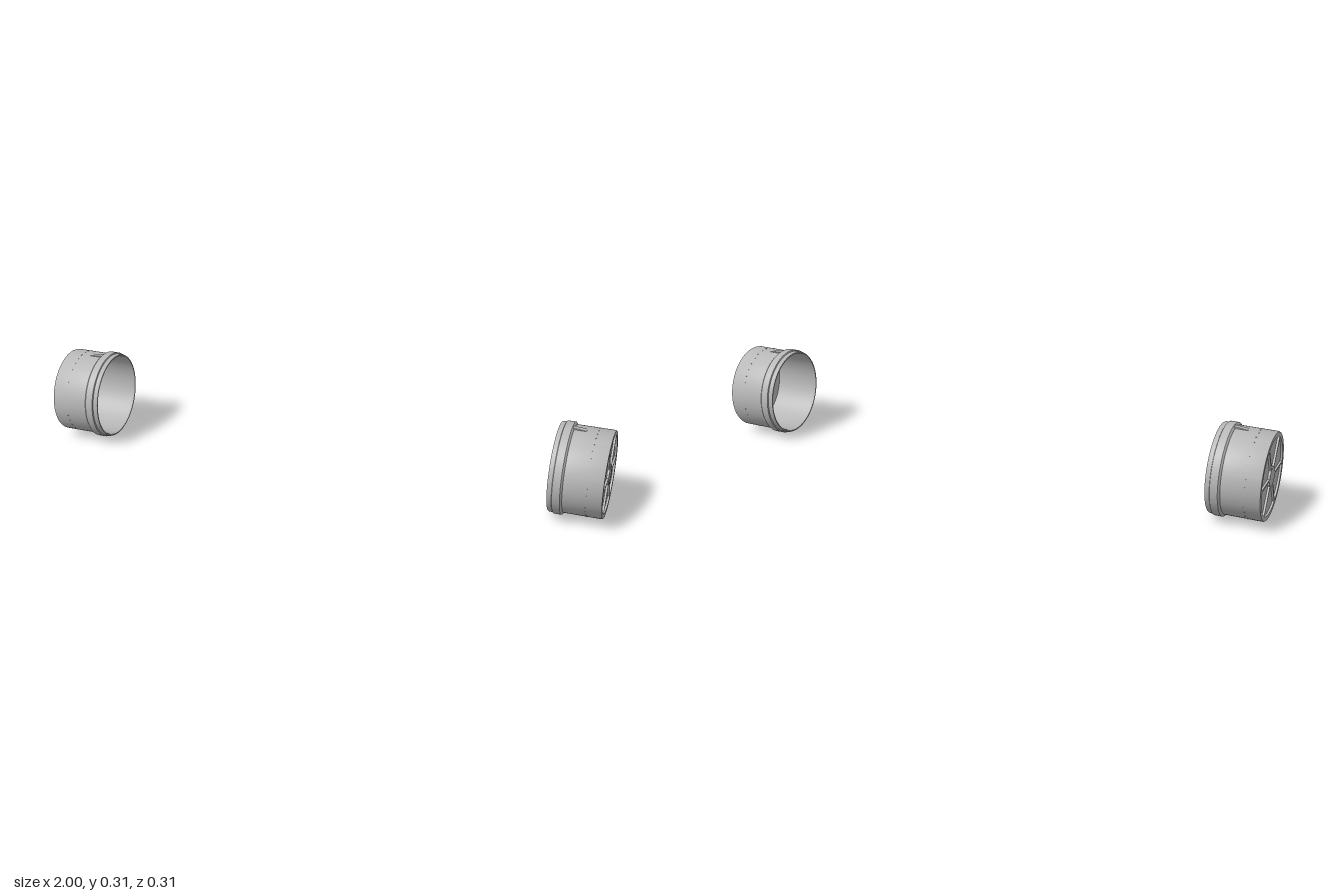
import * as THREE from 'three';
import { toCreasedNormals } from 'three/addons/utils/BufferGeometryUtils.js';

const grey = new THREE.MeshStandardMaterial({ color: 0xb8b8b8 });
grey.name = 'light grey';

function add(parent, name, geometry) {
  const mesh = new THREE.Mesh(geometry, grey);
  mesh.name = name;
  parent.add(mesh);
  return mesh;
}

// Lathe a profile of [radius, x] points around the x axis
function turned(points, sides) {
  const profile = points.map(([r, x]) => new THREE.Vector2(r, x));
  const geometry = new THREE.LatheGeometry(profile, sides).rotateZ(-Math.PI / 2);
  return toCreasedNormals(geometry, 0.5);
}

// One hollow cap: open towards the centre, closed at x = 1
function createCap(name) {
  const cap = new THREE.Group();
  cap.name = name;

  // Shell: inner floor, inner wall, lip, flange, outer wall, end rim, recessed end
  add(cap, 'shell', turned([
    [0, 0.982], [0.144, 0.982], [0.144, 0.83], [0.147, 0.818],
    [0.151, 0.818], [0.153, 0.822], [0.153, 0.834],
    [0.157, 0.836], [0.157, 0.862], [0.153, 0.866], [0.149, 0.868],
    [0.149, 0.994], [0.147, 0.998], [0.132, 0.998], [0.132, 0.991], [0, 0.991],
  ], 72));

  // Spokes across the recessed end
  for (let i = 0; i < 3; i++) {
    const spoke = add(cap, 'spoke', new THREE.BoxGeometry(0.008, 0.006, 0.266));
    spoke.position.x = 0.994;
    spoke.rotation.x = (i * Math.PI) / 3;
  }

  // Slightly domed hub
  add(cap, 'hub', turned([[0.035, 0.99], [0.035, 0.9985], [0.018, 0.9995], [0, 1]], 12));

  // Tapered catch on top, behind the flange
  const side = new THREE.Shape();
  side.moveTo(0.86, 0.145);
  side.lineTo(0.91, 0.145);
  side.lineTo(0.91, 0.15);
  side.lineTo(0.86, 0.155);
  const catchGeometry = new THREE.ExtrudeGeometry(side, { depth: 0.018, bevelEnabled: false });
  add(cap, 'catch', catchGeometry.translate(0, 0, -0.009));

  // Row of tiny nubs around the wall
  const nub = new THREE.BoxGeometry(0.004, 0.002, 0.004);
  for (let i = 0; i < 36; i++) {
    const angle = ((i + 0.5) / 36) * Math.PI * 2;
    const mesh = add(cap, 'nub', nub);
    mesh.position.set(0.945, Math.cos(angle) * 0.149, Math.sin(angle) * 0.149);
    mesh.rotation.x = angle;
  }

  cap.position.y = 0.157;
  return cap;
}

export function createModel() {
  const model = new THREE.Group();
  model.name = 'pair of end caps';
  const left = createCap('leftCap');
  const right = createCap('rightCap');
  right.rotation.y = Math.PI;
  model.add(left, right);
  return model;
}
